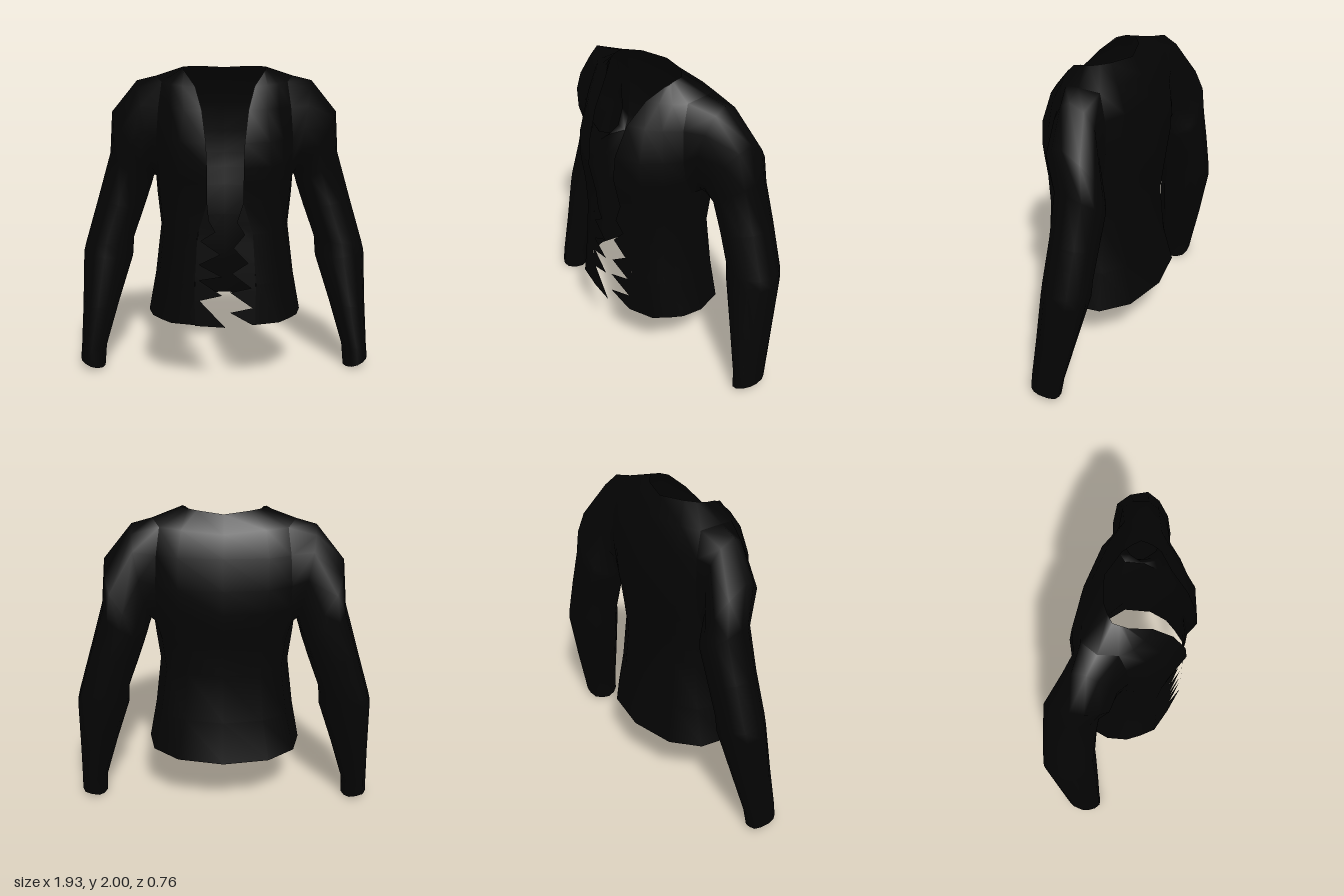
import * as THREE from 'three';

const cloth = new THREE.MeshStandardMaterial({ color: 0x040404, side: THREE.DoubleSide });
cloth.name = 'blackCloth';

// Skin rows of points (bottom to top) into one smooth surface; hole(i, j) leaves a cell open
function skin(name, rows, closed = false, hole = () => false) {
  const n = rows[0].length, index = [];
  for (let i = 0; i < rows.length - 1; i++) {
    for (let j = 0; j < (closed ? n : n - 1); j++) {
      if (hole(i, j)) continue;
      const k = (j + 1) % n;
      const a = i * n + j, b = i * n + k, c = a + n, d = b + n;
      index.push(a, b, c, b, d, c);
    }
  }
  const g = new THREE.BufferGeometry();
  g.setAttribute('position', new THREE.Float32BufferAttribute(rows.flat(2), 3));
  g.setIndex(index);
  g.computeVertexNormals();
  const mesh = new THREE.Mesh(g, cloth);
  mesh.name = name;
  return mesh;
}

// Half sections of the body: height, then x,z pairs from front edge to back centre
const sections = [
  [0.42, [0.19, 0.325, 0.34, 0.28, 0.41, 0.2, 0.465, 0.12, 0.495, -0.01, 0.455, -0.19, 0.29, -0.325, 0, -0.38]],
  [0.68, [0.19, 0.32, 0.31, 0.275, 0.37, 0.2, 0.42, 0.11, 0.447, 0, 0.4, -0.18, 0.25, -0.27, 0, -0.31]],
  [1.0, [0.17, 0.315, 0.29, 0.265, 0.345, 0.19, 0.385, 0.1, 0.408, -0.01, 0.36, -0.17, 0.23, -0.245, 0, -0.285]],
  [1.2, [0.11, 0.335, 0.28, 0.285, 0.36, 0.19, 0.41, 0.08, 0.43, -0.03, 0.38, -0.18, 0.24, -0.265, 0, -0.3]],
  [1.32, [0.11, 0.362, 0.28, 0.305, 0.37, 0.19, 0.425, 0.04, 0.44, -0.05, 0.415, -0.17, 0.25, -0.275, 0, -0.31]],
  [1.42, [0.11, 0.384, 0.28, 0.318, 0.37, 0.21, 0.425, 0.09, 0.445, -0.05, 0.41, -0.2, 0.26, -0.285, 0, -0.318]],
  [1.57, [0.115, 0.37, 0.27, 0.315, 0.36, 0.215, 0.425, 0.12, 0.455, -0.06, 0.41, -0.215, 0.27, -0.285, 0, -0.312]],
  [1.76, [0.14, 0.295, 0.25, 0.26, 0.33, 0.195, 0.41, 0.11, 0.46, -0.07, 0.4, -0.205, 0.27, -0.26, 0, -0.28]],
];
// Shoulder line and neck edge
const shoulder = [[0.18, 1.89, 0.185], [0.26, 1.895, 0.16], [0.33, 1.9, 0.12], [0.39, 1.91, 0.06],
  [0.43, 1.942, -0.05], [0.38, 1.915, -0.16], [0.25, 1.91, -0.2], [0, 1.89, -0.225]];
const neck = [[0.24, 1.97, 0.1], [0.25, 1.98, 0.07], [0.253, 1.99, 0.045], [0.255, 1.995, 0.02],
  [0.255, 2, -0.02], [0.215, 2, -0.06], [0.16, 2, -0.1], [0, 1.99, -0.15]];
const halves = sections.map(([y, p]) =>
  Array.from({ length: 8 }, (_, i) => [p[2 * i], y, p[2 * i + 1]]));
halves.push(shoulder, neck);

const mirror = ([x, y, z]) => [-x, y, z];

function torso() {
  const rows = halves.map(h => [...h, ...h.slice(0, -1).reverse().map(mirror)]);
  // Armholes stay open where the sleeves join
  return skin('torso', rows, false, (i, j) => i >= 4 && i <= 7 && [3, 4, 9, 10].includes(j));
}

// Armhole rim: from the shoulder down the back and up the front
function armhole() {
  const arm = halves.slice(4, 9);
  return [arm[4][4], ...arm.map(h => h[5]).reverse(), arm[0][4], ...arm.map(h => h[3])];
}

// Front edge of the body at a given height
function seam(y) {
  let i = 0;
  while (sections[i + 1][0] < y) i++;
  const [y0, a] = sections[i], [y1, b] = sections[i + 1];
  const t = (y - y0) / (y1 - y0);
  return [a[0] + (b[0] - a[0]) * t, a[1] + (b[1] - a[1]) * t];
}

// Torn front edges: height and distance of each tooth from the centre line
const tears = {
  left: [[0.42, 0.17], [0.51, 0.03], [0.53, 0.17], [0.64, 0.03], [0.66, 0.16], [0.76, 0.04],
    [0.82, 0.14], [0.92, 0.05], [1.0, 0.12], [1.08, 0.07], [1.2, 0.11]],
  right: [[0.415, 0], [0.58, 0.16], [0.62, 0.02], [0.71, 0.16], [0.74, 0.02], [0.81, 0.16],
    [0.88, 0.03], [0.96, 0.15], [1.02, 0.06], [1.09, 0.1], [1.2, 0.11]],
};
function tornEdge(name, side) {
  const rows = tears[name].map(([y, x]) => {
    const [sx, sz] = seam(y);
    const row = [[side * x, y, sz + (sx - x) * 0.2], [side * sx, y, sz]];
    return side > 0 ? row : row.reverse();
  });
  return skin(name + 'TornEdge', rows);
}

// Sleeve rings, wrist to shoulder: outer x,y, inner x,y, front z, back z, drop of the back
const rings = [
  [0.967, 0.06, 0.805, 0.005, 0.05, -0.16, 0],
  [0.96, 0.15, 0.793, 0.15, 0.045, -0.18, 0],
  [0.947, 0.42, 0.705, 0.45, 0.025, -0.24, 0],
  [0.935, 0.78, 0.61, 0.75, 0, -0.305, 0],
  [0.92, 0.84, 0.6, 0.88, -0.005, -0.31, 0],
  [0.83, 1.14, 0.525, 1.09, -0.01, -0.315, 0],
  [0.742, 1.44, 0.475, 1.24, 0, -0.318, 0.03],
  [0.72, 1.71, 0.46, 1.29, 0.065, -0.31, 0.1],
  [0.552, 1.912, 0.45, 1.31, 0.085, -0.225, 0.03],
];
// Sleeve outline: outward and forward share, from the outside round the back
const outline = [[1, 0], [0.92, -0.58], [0.66, -0.97], [0.1, -1], [-0.45, -0.88], [-0.82, -0.52],
  [-1, 0], [-0.82, 0.55], [-0.42, 0.93], [0.05, 1], [0.5, 0.8], [0.85, 0.42]];
function sleeve(name, side) {
  const rows = rings.map(([ox, oy, ix, iy, zf, zb, drop]) => outline.map(([c, s]) => [
    (ox + ix + c * (ox - ix)) / 2,
    (oy + iy + c * (oy - iy)) / 2 + drop * Math.min(s, 0),
    (zf + zb + s * (zf - zb)) / 2]));
  rows.push(armhole());
  return skin(name + 'Sleeve', side > 0 ? rows : rows.map(r => r.map(mirror).reverse()), true);
}

export function createModel() {
  const jacket = new THREE.Group();
  jacket.name = 'jacket';
  jacket.add(torso());
  for (const [name, side] of [['left', 1], ['right', -1]]) {
    jacket.add(tornEdge(name, side), sleeve(name, side));
  }
  return jacket;
}
